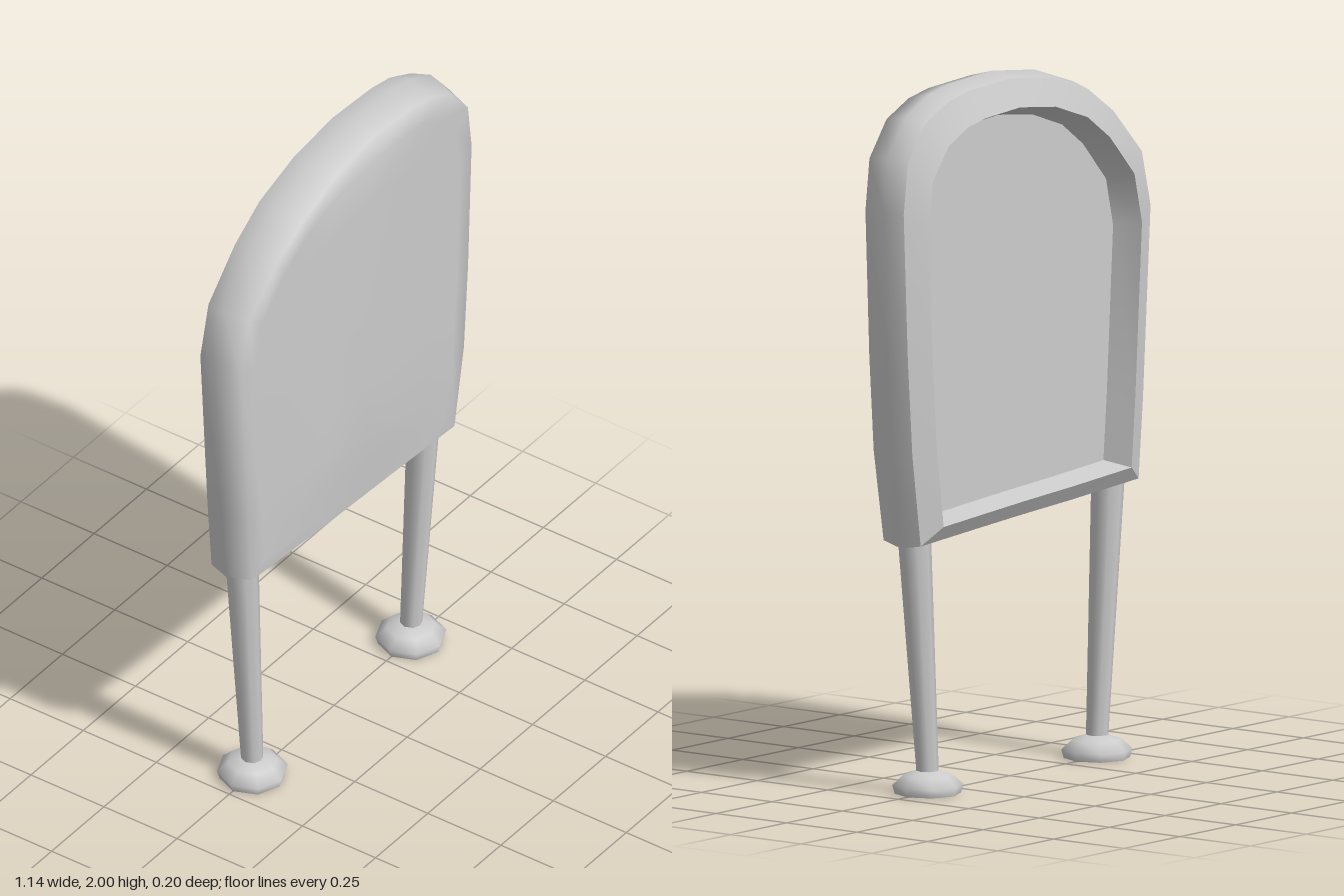
import * as THREE from 'three';
import { toCreasedNormals } from 'three/addons/utils/BufferGeometryUtils.js';

const material = new THREE.MeshStandardMaterial({ color: 0xcccccc });

// Lopsided panel outline, counter-clockwise seen from the front
const OUTLINE = [
  [-0.515, 0.77], [-0.2, 0.749], [0.05, 0.735], [0.25, 0.722], [0.488, 0.706],
  [0.526, 0.97], [0.547, 1.25], [0.566, 1.67], [0.546, 1.82],
  [0.462, 1.922], [0.36, 1.97], [0.27, 1.988], [0.08, 2.0], [-0.11, 1.978],
  [-0.28, 1.923], [-0.4, 1.843], [-0.53, 1.71], [-0.57, 1.55], [-0.535, 1.0],
];
const CENTRE_Y = 1.2;
const isBottom = (i) => i < 4;

// Outline shrunk by about d, more at the top than at the bottom
const inset = (d) => OUTLINE.map(([x, y]) =>
  [x * (1 - d / 0.56), CENTRE_Y + (y - CENTRE_Y) * (1 - d / 0.75)]);

// Gentle bulge of the front: a soft vertical ridge fading at bottom and top
function frontZ(x, y) {
  const ridge = 1 - Math.pow(Math.min(1, Math.abs(x - 0.05) / 0.6), 1.15);
  const fade = THREE.MathUtils.clamp((y - 0.72) / 0.28, 0, 1)
    * (1 - THREE.MathUtils.smoothstep(y, 1.91, 2.0));
  return 0.075 + 0.025 * ridge * fade;
}

// Skin joining rings from back to front; keep(ring, segment) picks the quads,
// and an optional centre point closes the last ring
function skin(rings, crease, keep = () => true, centre = null) {
  const n = OUTLINE.length;
  const positions = rings.flat(2);
  const index = [];
  for (let r = 0; r < rings.length - 1; r++) {
    for (let i = 0; i < n; i++) {
      if (!keep(r, i)) continue;
      const j = (i + 1) % n, a = r * n + i, b = r * n + j;
      index.push(a, b, b + n, a, b + n, a + n);
    }
  }
  if (centre) {
    positions.push(...centre);
    const last = (rings.length - 1) * n;
    for (let i = 0; i < n; i++) index.push(last + i, last + (i + 1) % n, rings.length * n);
  }
  const g = new THREE.BufferGeometry();
  g.setAttribute('position', new THREE.Float32BufferAttribute(positions, 3));
  g.setIndex(index);
  return toCreasedNormals(g, crease);
}

const flatRing = (d, z) => inset(d).map(([x, y]) => [x, y, z]);
const bulgeRing = (d) => inset(d).map(([x, y]) => [x, y, frontZ(x, y)]);

function add(parent, name, geometry) {
  const mesh = new THREE.Mesh(geometry, material);
  mesh.name = name;
  parent.add(mesh);
  return mesh;
}

// Leaning tapered leg on a hollow octagonal foot
function createLeg(name, xTop, yTop, xFoot) {
  const leg = new THREE.Group();
  leg.name = name;
  const yFoot = 0.045, h = yTop - yFoot;
  const post = new THREE.CylinderGeometry(0.047, 0.031, h, 8);
  const p = post.attributes.position;
  for (let i = 0; i < p.count; i++) {
    const t = p.getY(i) / h + 0.5;
    p.setX(i, p.getX(i) + xFoot + (xTop - xFoot) * t);
    p.setY(i, yFoot + h * t);
  }
  add(leg, 'post', post);
  const profile = [[0, 0.045], [0.093, 0], [0.1, 0.024], [0.07, 0.052], [0.03, 0.065], [0, 0.065]];
  const foot = new THREE.LatheGeometry(profile.map(([x, y]) => new THREE.Vector2(x, y)), 8);
  add(leg, 'foot', toCreasedNormals(foot, 1.3)).position.x = xFoot;
  return leg;
}

export function createModel() {
  const model = new THREE.Group();
  model.name = 'panelOnLegs';

  const panel = new THREE.Group();
  panel.name = 'panel';
  model.add(panel);

  // Sides flowing smoothly into the bulging front, with a sharp lower edge
  const sides = [flatRing(0.015, -0.06), flatRing(0, 0), bulgeRing(0.02)];
  const front = [bulgeRing(0.08), bulgeRing(0.2), bulgeRing(0.4)];
  add(panel, 'frontShell', skin([...sides, ...front], 1.5,
    (r, i) => r > 1 || !isBottom(i), [0, CENTRE_Y, frontZ(0, CENTRE_Y)]));
  add(panel, 'bottomEdge', skin(sides, 0.2, (r, i) => isBottom(i)));

  // Sloping back rim, and the wall and floor of the shallow recess
  const recessInset = 0.118, recessZ = -0.01;
  add(panel, 'backRim', skin(
    [flatRing(recessInset, recessZ), flatRing(0.09, -0.09), flatRing(0.015, -0.06)], 0.5));
  const floor = new THREE.ShapeGeometry(new THREE.Shape(
    inset(recessInset).map(([x, y]) => new THREE.Vector2(-x, y))));
  add(panel, 'recessFloor', floor.rotateY(Math.PI)).position.z = recessZ;

  model.add(createLeg('leftLeg', 0.428, 0.74, 0.367));
  model.add(createLeg('rightLeg', -0.44, 0.79, -0.39));
  return model;
}
